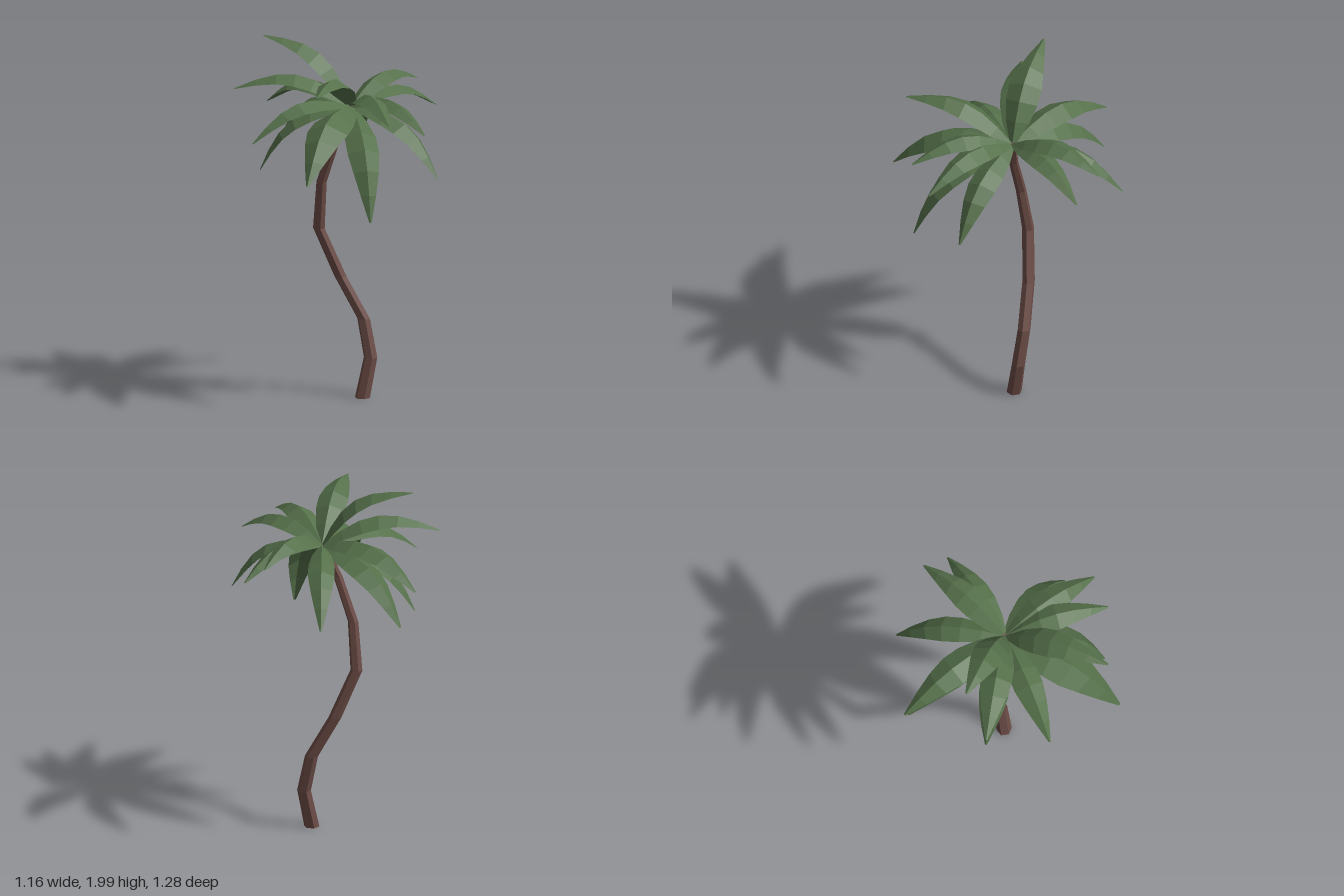
import * as THREE from 'three';

const barkMaterial = new THREE.MeshStandardMaterial({ color: 0x6b4b45, flatShading: true });
const leafMaterial = new THREE.MeshStandardMaterial({ color: 0x55704a, flatShading: true, side: THREE.DoubleSide });

// Crooked trunk: a six-sided cylinder whose rings follow [x, y, z, radius]
function createTrunk() {
  const rings = [
    [0.102, 0, -0.073, 0.042], [0.138, 0.22, -0.108, 0.038], [0.093, 0.43, -0.127, 0.036],
    [-0.035, 0.66, -0.115, 0.035], [-0.147, 0.93, -0.08, 0.033], [-0.122, 1.2, -0.047, 0.029],
    [-0.035, 1.45, -0.03, 0.026], [0.045, 1.64, -0.045, 0.022],
  ];
  const last = rings.length - 1;
  const geometry = new THREE.CylinderGeometry(1, 1, 1, 6, last, false, Math.PI / 2);
  const pos = geometry.attributes.position;
  for (let i = 0; i < pos.count; i++) {
    const [x, y, z, r] = rings[Math.round((pos.getY(i) + 0.5) * last)];
    pos.setXYZ(i, x + pos.getX(i) * r, y, z + pos.getZ(i) * r);
  }
  geometry.computeVertexNormals();
  const trunk = new THREE.Mesh(geometry, barkMaterial);
  trunk.name = 'trunk';
  return trunk;
}

// Frond: an arched midrib with two halves sloping down from it like a roof,
// widest about a third of the way out
const crown = new THREE.Vector3(0.05, 1.637, -0.047);
const widths = [0.2, 0.72, 0.98, 1, 0.8, 0.48, 0.07];
const bow = 0.195;

function createFrond(tip, width) {
  const chord = tip.clone().sub(crown);
  const length = chord.length();
  const side = new THREE.Vector3().crossVectors(chord, new THREE.Vector3(0, 1, 0)).normalize();
  const up = new THREE.Vector3().crossVectors(side, chord).normalize();
  const points = [], index = [];
  const steps = widths.length - 1;
  widths.forEach((w, i) => {
    const u = i / steps;
    const rib = crown.clone().addScaledVector(chord, u)
      .addScaledVector(up, bow * length * Math.sin(Math.PI * u));
    // Section normal leans with the slope of the arch
    const lean = up.clone()
      .addScaledVector(chord, -bow * Math.PI * Math.cos(Math.PI * u) / length).normalize();
    const half = width * length * w;
    for (const s of [-1, 0, 1]) {
      const p = rib.clone().addScaledVector(side, s * half).addScaledVector(lean, -0.55 * half * Math.abs(s));
      points.push(p.x, p.y, p.z);
    }
    if (i < steps) {
      for (const k of [0, 1]) {
        const a = i * 3 + k;
        index.push(a, a + 1, a + 3, a + 1, a + 4, a + 3);
      }
    }
  });
  const geometry = new THREE.BufferGeometry();
  geometry.setAttribute('position', new THREE.Float32BufferAttribute(points, 3));
  geometry.setIndex(index);
  geometry.computeVertexNormals();
  const frond = new THREE.Mesh(geometry, leafMaterial);
  frond.name = 'frond';
  return frond;
}

export function createModel() {
  const model = new THREE.Group();
  model.name = 'palmTree';
  model.add(createTrunk());

  // Frond tips round the crown, with half width relative to length
  const tips = [
    [-0.06, 1.36, -0.64, 0.11], [0.26, 1.68, -0.6, 0.13], [0.39, 1.56, -0.51, 0.125],
    [-0.54, 1.54, -0.41, 0.13], [-0.46, 1.33, -0.42, 0.13], [-0.46, 1.99, -0.08, 0.15],
    [-0.58, 1.72, 0.08, 0.135], [-0.39, 1.49, 0.38, 0.13], [-0.45, 1.26, 0.03, 0.13],
    [0, 1.34, 0.64, 0.155], [0.3, 1.11, 0.44, 0.115], [0.4, 1.65, 0.42, 0.13],
    [0.56, 1.58, 0.28, 0.13], [0.58, 1.3, 0.1, 0.13], [0.03, 1.82, 0.56, 0.13],
  ];
  const fronds = new THREE.Group();
  fronds.name = 'fronds';
  for (const [x, y, z, width] of tips) fronds.add(createFrond(new THREE.Vector3(x, y, z), width));
  model.add(fronds);
  return model;
}
